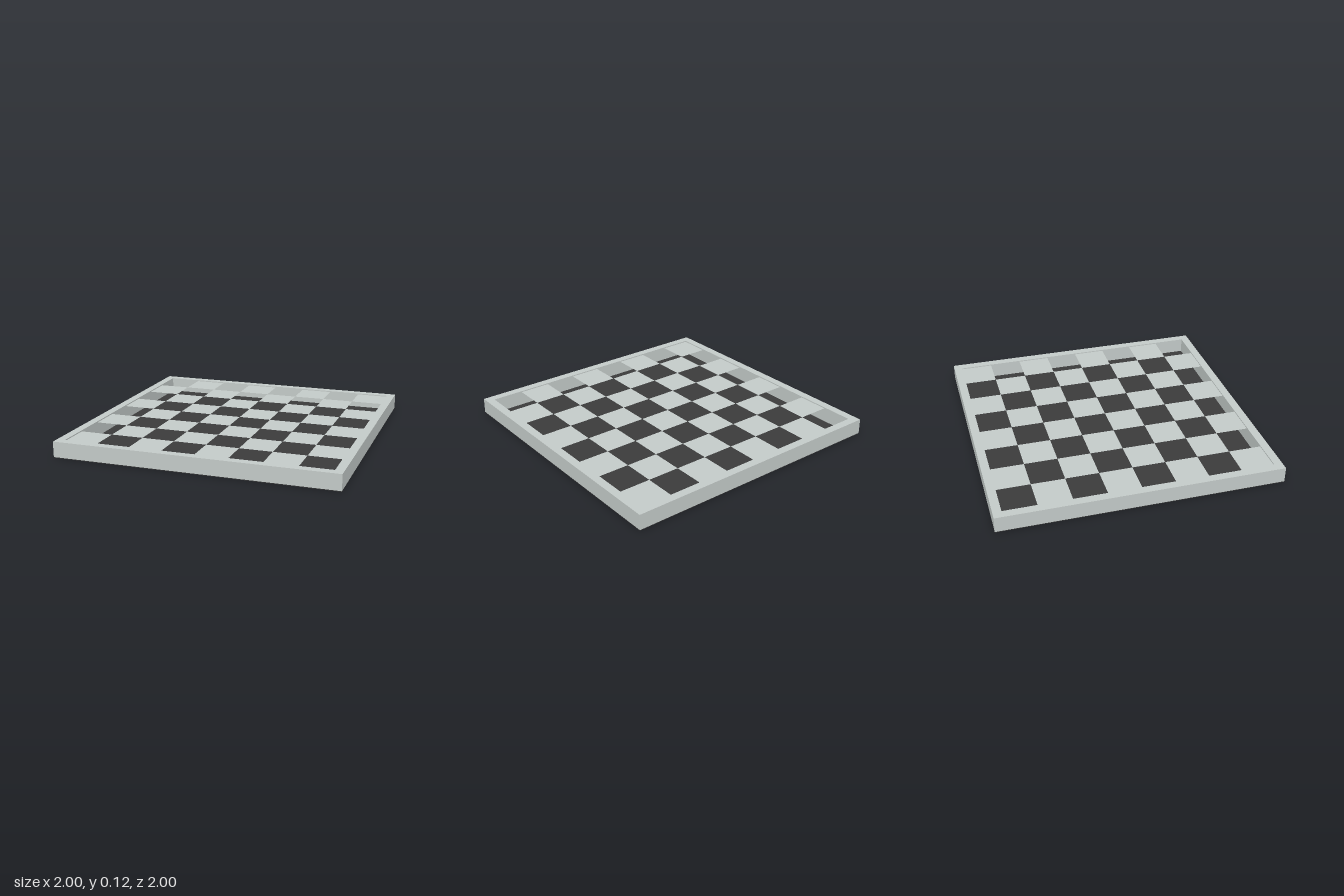
import * as THREE from 'three';

const HEIGHT = 0.115;  // overall height
const RAIL = 0.06;     // rail width
const BASE = 0.004;    // floor thickness
const TILE_Y = 0.107;  // level of the light squares
const CELLS = 8;

export function createModel() {
  const model = new THREE.Group();
  model.name = 'checkerBoard';

  const light = new THREE.MeshStandardMaterial({ color: 0xc3cac8, side: THREE.DoubleSide });
  light.name = 'paleGrey';
  const dark = new THREE.MeshStandardMaterial({ color: 0x3b3b3b });
  dark.name = 'charcoal';

  const add = (parent, name, geometry, material, x, y, z) => {
    const mesh = new THREE.Mesh(geometry, material);
    mesh.name = name;
    mesh.position.set(x, y, z);
    parent.add(mesh);
  };

  // Dark floor, seen through the open squares and from below
  add(model, 'floor', new THREE.BoxGeometry(2, BASE, 2), dark, 0, BASE / 2, 0);

  // Frame: long rails front and back, shorter ones between them
  const railHeight = HEIGHT - BASE;
  const railY = BASE + railHeight / 2;
  const offset = 1 - RAIL / 2;
  const longRail = new THREE.BoxGeometry(2, railHeight, RAIL);
  const sideRail = new THREE.BoxGeometry(RAIL, railHeight, 2 - 2 * RAIL);
  add(model, 'frontRail', longRail, light, 0, railY, offset);
  add(model, 'backRail', longRail, light, 0, railY, -offset);
  add(model, 'leftRail', sideRail, light, offset, railY, 0);
  add(model, 'rightRail', sideRail, light, -offset, railY, 0);

  // Raised light squares on every other cell
  const tiles = new THREE.Group();
  tiles.name = 'lightSquares';
  model.add(tiles);
  const inner = 2 - 2 * RAIL;
  const size = inner / CELLS;
  const tile = new THREE.PlaneGeometry(size, size).rotateX(-Math.PI / 2);
  for (let row = 0; row < CELLS; row++) {
    for (let col = 0; col < CELLS; col++) {
      if ((row + col) % 2 === 0) continue;
      add(tiles, 'lightSquare', tile, light,
        -inner / 2 + (col + 0.5) * size, TILE_Y, -inner / 2 + (row + 0.5) * size);
    }
  }
  return model;
}
